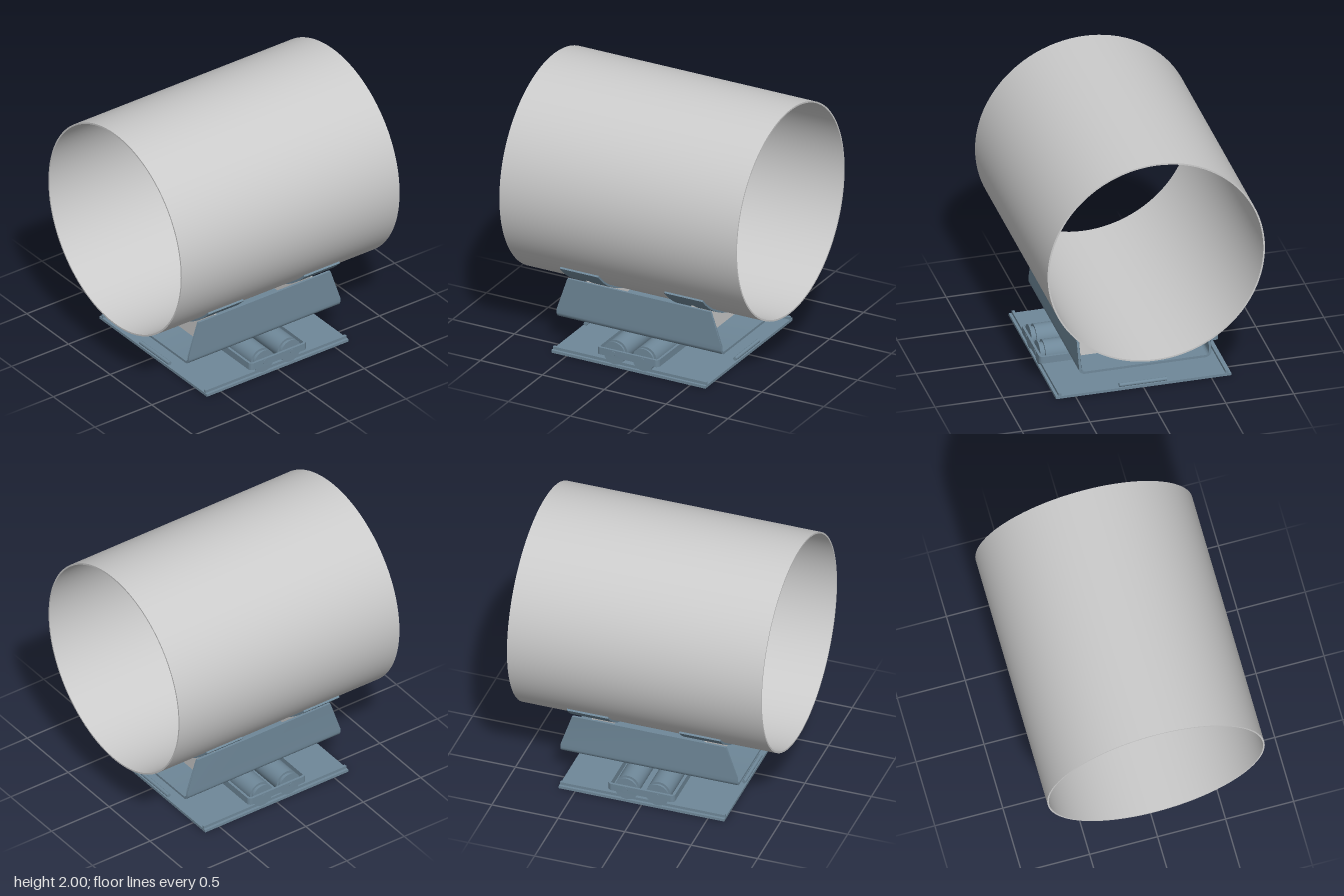
import * as THREE from 'three';
import { toCreasedNormals } from 'three/addons/utils/BufferGeometryUtils.js';

const grey = new THREE.MeshStandardMaterial({ color: 0xcccccc });
const steel = new THREE.MeshStandardMaterial({ color: 0x6f8899 });
const AXIS_Y = 1.2; // height of the pipe axis
const PIPE_R = 0.8, STRAP_R = 0.815;

// Extrude a (z, y) outline along x, centred on x = 0
function extrudeX(shape, length, curveSegments = 12) {
  return new THREE.ExtrudeGeometry(shape, { depth: length, bevelEnabled: false, curveSegments })
    .translate(0, 0, -length / 2).rotateY(-Math.PI / 2);
}

// Solid of revolution with crisp edges, standing along y
function turned(points, segments) {
  const lathe = new THREE.LatheGeometry(points.map(p => new THREE.Vector2(...p)), segments);
  return toCreasedNormals(lathe, 0.6);
}

function roundedRect(path, w, h, r) {
  const x = w / 2, y = h / 2;
  path.moveTo(-x + r, -y);
  path.lineTo(x - r, -y).absarc(x - r, -y + r, r, -Math.PI / 2, 0);
  path.lineTo(x, y - r).absarc(x - r, y - r, r, 0, Math.PI / 2);
  path.lineTo(-x + r, y).absarc(-x + r, y - r, r, Math.PI / 2, Math.PI);
  path.lineTo(-x, -y + r).absarc(-x + r, -y + r, r, Math.PI, Math.PI * 1.5);
  return path;
}

export function createModel() {
  const model = new THREE.Group();
  model.name = 'pipeRollerSupport';
  const add = (name, geometry, material, x = 0, y = 0, z = 0) => {
    const mesh = new THREE.Mesh(geometry, material);
    mesh.name = name;
    mesh.position.set(x, y, z);
    model.add(mesh);
    return mesh;
  };

  // Open pipe
  const pipe = turned([[0.788, -0.957], [PIPE_R, -0.957], [PIPE_R, 0.957], [0.788, 0.957], [0.788, -0.957]], 96);
  add('pipe', pipe.rotateZ(Math.PI / 2), grey, 0, AXIS_Y);

  // Curved saddle straps and the gusset plates below them
  const half = 0.834, mid = -Math.PI / 2;
  const strap = new THREE.Shape();
  strap.absarc(0, AXIS_Y, STRAP_R, mid - half, mid + half);
  strap.absarc(0, AXIS_Y, PIPE_R + 0.001, mid + half, mid - half, true);
  const gHalf = Math.asin(0.472 / STRAP_R);
  const gusset = new THREE.Shape();
  gusset.moveTo(-0.435, 0.215).lineTo(0.435, 0.215).lineTo(0.472, 0.25);
  gusset.absarc(0, AXIS_Y, STRAP_R, mid + gHalf, mid - gHalf, true);
  gusset.lineTo(-0.472, 0.25);
  for (const s of [1, -1]) {
    add('saddleStrap', toCreasedNormals(extrudeX(strap, 0.31, 40), 0.6), steel, s * 0.422);
    add('gussetPlate', extrudeX(gusset, 0.02, 40), grey, s * 0.422);
  }

  // Bent U-channel cradle whose walls narrow towards the top
  const W = 0.488, T = 0.018, Y0 = 0.2, Y1 = 0.525, KNEE = 0.27, R = 0.045;
  const u = new THREE.Shape();
  u.moveTo(-W, Y1).lineTo(-W, KNEE).lineTo(-W, Y0 + R);
  u.absarc(-W + R, Y0 + R, R, Math.PI, Math.PI * 1.5);
  u.lineTo(W - R, Y0).absarc(W - R, Y0 + R, R, -Math.PI / 2, 0);
  u.lineTo(W, KNEE).lineTo(W, Y1).lineTo(W - T, Y1).lineTo(W - T, KNEE);
  u.lineTo(W - T, Y0 + R).absarc(W - R, Y0 + R, R - T, 0, -Math.PI / 2, true);
  u.lineTo(-W + R, Y0 + T).absarc(-W + R, Y0 + R, R - T, -Math.PI / 2, -Math.PI, true);
  u.lineTo(-W + T, KNEE).lineTo(-W + T, Y1);
  const channel = extrudeX(u, 1.33, 8);
  const pos = channel.attributes.position;
  for (let i = 0; i < pos.count; i++) {
    const t = Math.max(0, (pos.getY(i) - KNEE) / (Y1 - KNEE));
    pos.setX(i, pos.getX(i) * (1 - 0.13 * t));
  }
  add('cradleChannel', toCreasedNormals(channel, 0.5), steel);

  // Twin rollers, grooved near both ends, with axle pins
  const roller = turned([
    [0, -0.64], [0.087, -0.64], [0.087, -0.628], [0.07, -0.628], [0.07, -0.602], [0.087, -0.602],
    [0.087, 0.602], [0.07, 0.602], [0.07, 0.628], [0.087, 0.628], [0.087, 0.64], [0, 0.64]], 40);
  roller.rotateX(Math.PI / 2);
  const pin = new THREE.CylinderGeometry(0.02, 0.02, 1.325, 20).rotateX(Math.PI / 2);
  for (const s of [1, -1]) {
    add('roller', roller, steel, s * 0.117, 0.108);
    add('axlePin', pin, steel, s * 0.117, 0.112);
  }

  // Rounded flat-bar frame that holds the rollers together
  const ring = roundedRect(new THREE.Shape(), 0.5, 1.32, 0.03);
  ring.holes.push(roundedRect(new THREE.Path(), 0.464, 1.284, 0.012));
  const frame = new THREE.ExtrudeGeometry(ring, { depth: 0.054, bevelEnabled: false, curveSegments: 6 });
  add('rollerFrame', toCreasedNormals(frame.rotateX(-Math.PI / 2), 0.5), steel, 0, 0.085);

  // Base plate with guide rails along the front and back and end stops
  add('basePlate', new THREE.BoxGeometry(1.245, 0.02, 1.29), steel, 0, 0.01);
  const rail = new THREE.BoxGeometry(1.24, 0.022, 0.02);
  const stop = new THREE.CylinderGeometry(0.014, 0.014, 0.35, 16).rotateX(Math.PI / 2);
  for (const s of [1, -1]) {
    add('guideRail', rail, steel, 0, 0.03, s * 0.615);
    add('endStop', stop, steel, s * 0.604, 0.034);
  }
  return model;
}
